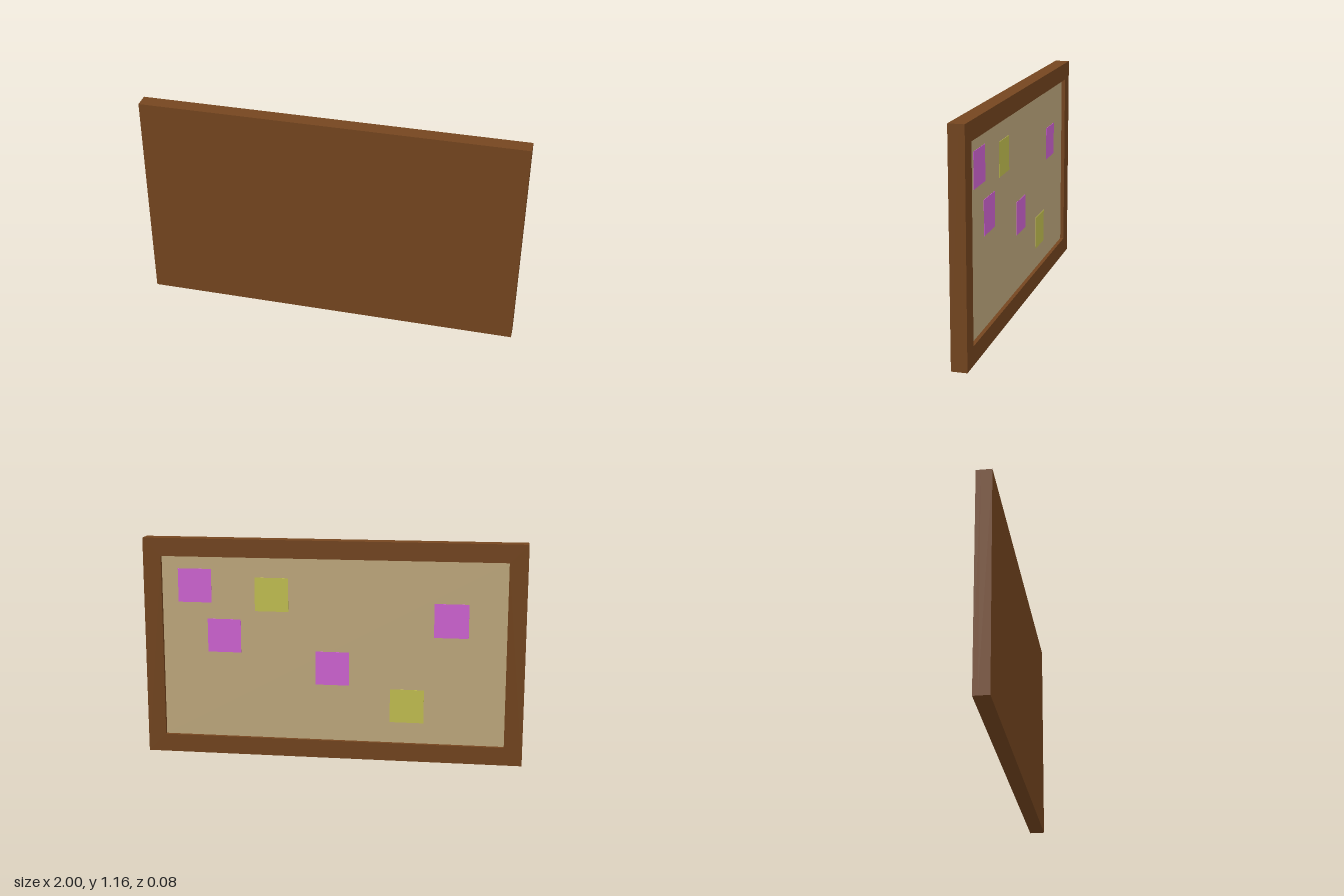
import * as THREE from 'three';

const W = 2, H = 1.16, BORDER = 0.095;
const BACK = -0.04, SEAM = -0.015, CORK = -0.02, FRONT = 0.04;

const paint = (color) => new THREE.MeshStandardMaterial({ color });

// Box centred on (x, y) and filling z0..z1
function slab(name, x, y, w, h, z0, z1, material) {
  const mesh = new THREE.Mesh(new THREE.BoxGeometry(w, h, z1 - z0), material);
  mesh.position.set(x, y, (z0 + z1) / 2);
  mesh.name = name;
  return mesh;
}

// Adds a centred rectangle to a shape or path
function rectangle(path, w, h) {
  path.moveTo(-w / 2, -h / 2);
  path.lineTo(w / 2, -h / 2);
  path.lineTo(w / 2, h / 2);
  path.lineTo(-w / 2, h / 2);
  path.closePath();
  return path;
}

export function createModel() {
  const board = new THREE.Group();
  board.name = 'pinBoard';
  const wood = paint(0x75461f);
  const innerW = W - 2 * BORDER, innerH = H - 2 * BORDER;

  // Solid wooden backing
  board.add(slab('backing', 0, H / 2, W, H, SEAM, FRONT, wood));

  // Raised wooden border around the pinning side
  const outline = rectangle(new THREE.Shape(), W, H);
  outline.holes.push(rectangle(new THREE.Path(), innerW, innerH));
  const frame = new THREE.Mesh(
    new THREE.ExtrudeGeometry(outline, { depth: SEAM - BACK, bevelEnabled: false }), wood);
  frame.position.set(0, H / 2, BACK);
  frame.name = 'frame';
  board.add(frame);

  // Recessed cork panel
  board.add(slab('corkPanel', 0, H / 2, innerW, innerH, CORK, SEAM, paint(0xc3ac80)));

  // Square paper notes pinned to the cork
  const purple = paint(0xd466d7), olive = paint(0xc6c352);
  const notes = [
    [0.73, 0.91, purple], [0.32, 0.87, olive], [0.575, 0.645, purple],
    [0, 0.485, purple], [-0.62, 0.755, purple], [-0.395, 0.295, olive],
  ];
  notes.forEach(([x, y, material], i) => {
    board.add(slab(`note${i + 1}`, x, y, 0.178, 0.178, CORK - 0.002, CORK, material));
  });

  return board;
}
